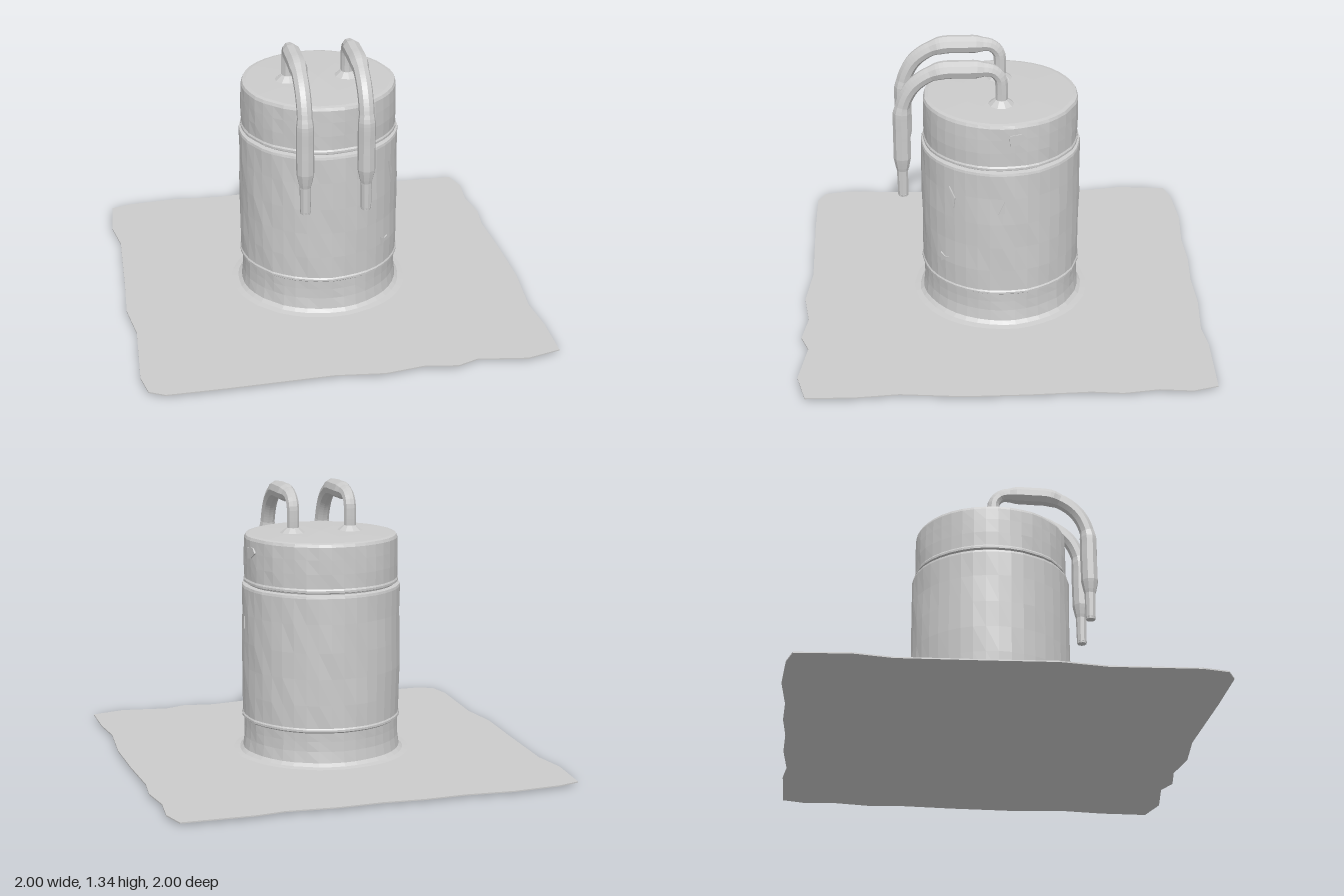
import * as THREE from 'three';

const material = new THREE.MeshStandardMaterial({ color: 0xcccccc, flatShading: true, side: THREE.DoubleSide });

function addMesh(parent, name, geometry) {
  const mesh = new THREE.Mesh(geometry, material);
  mesh.name = name;
  parent.add(mesh);
  return mesh;
}

// Smooth, repeatable unevenness for worn surfaces
function wobble(a, b) {
  return Math.sin(a * 5.3 + b * 11) * 0.5 + Math.sin(a * 9 - b * 17 + 1.3) * 0.5;
}

// Lathe with slightly dented walls
function dentedLathe(profile, amount) {
  const geometry = new THREE.LatheGeometry(profile.map(([r, y]) => new THREE.Vector2(r, y)), 40);
  const p = geometry.attributes.position;
  for (let i = 0; i < p.count; i++) {
    const x = p.getX(i), y = p.getY(i), z = p.getZ(i);
    const r = Math.hypot(x, z);
    if (r < 0.01) continue;
    const k = 1 + amount * wobble(Math.round(x * 500) / 500 * 4 + z * 3, y) / r;
    p.setXYZ(i, x * k, y, z * k);
  }
  geometry.computeVertexNormals();
  return geometry;
}

// Tube along a curve whose radius follows [t, radius] stops
function taperedTube(curve, stops, segments, sides) {
  const geometry = new THREE.TubeGeometry(curve, segments, 1, sides, false);
  const p = geometry.attributes.position;
  const v = new THREE.Vector3();
  for (let i = 0; i < p.count; i++) {
    const t = Math.floor(i / (sides + 1)) / segments;
    let k = 1;
    while (k < stops.length - 1 && stops[k][0] < t) k++;
    const [t0, r0] = stops[k - 1], [t1, r1] = stops[k];
    const radius = THREE.MathUtils.lerp(r0, r1, (t - t0) / (t1 - t0));
    const centre = curve.getPointAt(t);
    v.fromBufferAttribute(p, i).sub(centre).multiplyScalar(radius).add(centre);
    p.setXYZ(i, v.x, v.y, v.z);
  }
  geometry.computeVertexNormals();
  return geometry;
}

function createHose(x) {
  const hose = new THREE.Group();
  hose.name = x > 0 ? 'leftHose' : 'rightHose';
  const points = [
    [1.1, 0], [1.19, -0.002], [1.25, 0.005], [1.285, 0.04], [1.293, 0.1], [1.293, 0.2],
    [1.29, 0.28], [1.26, 0.36], [1.2, 0.43], [1.1, 0.475], [0.95, 0.48], [0.78, 0.482], [0.62, 0.482],
  ].map(([y, z]) => new THREE.Vector3(x, y, z));
  const curve = new THREE.CatmullRomCurve3(points);
  addMesh(hose, 'hoseTube', taperedTube(curve, [
    [0, 0.03], [0.16, 0.031], [0.2, 0.036], [0.23, 0.045], [0.38, 0.045],
    [0.41, 0.038], [0.6, 0.037], [0.63, 0.043], [0.83, 0.043], [0.87, 0.033], [0.885, 0.028], [1, 0.025],
  ], 70, 9));
  // Closed nozzle end
  addMesh(hose, 'hoseTip', new THREE.CylinderGeometry(0.026, 0.023, 0.012, 9)).position.set(x, 0.624, 0.482);
  // Flared root where the hose leaves the lid
  addMesh(hose, 'hoseCollar', new THREE.CylinderGeometry(0.032, 0.07, 0.03, 10)).position.set(x, 1.122, 0);
  return hose;
}

// Small angular nick on the wall at a given angle and height
function addNick(parent, wallRadius, y, z, corners) {
  const shape = new THREE.Shape(corners.map(([a, b]) => new THREE.Vector2(a, b)));
  const geometry = new THREE.ExtrudeGeometry(shape, { depth: 0.008, bevelEnabled: false });
  const angle = Math.acos(z / wallRadius);
  const nick = addMesh(parent, 'wallNick', geometry);
  nick.position.set(Math.sin(angle) * (wallRadius - 0.004), y, z);
  nick.rotation.y = angle;
}

export function createModel() {
  const model = new THREE.Group();
  model.name = 'canisterOnSheet';

  // Thin ground sheet with a ragged outline, corners as x, z
  const outline = [
    [-0.98, -0.95], [-0.88, -0.98], [-0.64, -1], [-0.4, -0.985], [-0.2, -0.995], [0, -0.985], [0.22, -0.995],
    [0.46, -0.98], [0.6, -1], [0.95, -1], [0.985, -0.88], [0.97, -0.72], [0.995, -0.55], [0.98, -0.4],
    [0.995, -0.1], [1, 0.2], [0.975, 0.5], [0.995, 0.7], [0.995, 0.94], [0.83, 0.985], [0.59, 0.95], [0.49, 0.99],
    [0.33, 0.965], [0.14, 0.995], [-0.1, 0.97], [-0.6, 0.99], [-0.89, 0.995], [-0.965, 0.955], [-0.99, 0.83],
    [-0.97, 0.42], [-1, 0.2], [-0.985, -0.1], [-0.97, -0.52], [-1, -0.7],
  ];
  const sheetShape = new THREE.Shape(outline.map(([x, z]) => new THREE.Vector2(x, -z)));
  const sheet = new THREE.ExtrudeGeometry(sheetShape, { depth: 0.006, bevelEnabled: false });
  sheet.rotateX(-Math.PI / 2);
  addMesh(model, 'groundSheet', sheet).position.y = 0.009;

  // Shallow foot under the canister
  addMesh(model, 'foot', new THREE.CylinderGeometry(0.36, 0.06, 0.01, 32)).position.y = 0.005;

  // Canister wall: flared foot, lower band, main drum
  addMesh(model, 'canisterBody', dentedLathe([
    [0.44, 0.015], [0.41, 0.02], [0.393, 0.035], [0.386, 0.09], [0.385, 0.14], [0.386, 0.183],
    [0.396, 0.19], [0.396, 0.2], [0.391, 0.207], [0.393, 0.32], [0.393, 0.45], [0.394, 0.58],
    [0.393, 0.72], [0.393, 0.845], [0.39, 0.857], [0.365, 0.862],
  ], 0.003));

  // Lid, with a groove below and a nearly flat top
  addMesh(model, 'lid', dentedLathe([
    [0.365, 0.855], [0.37, 0.868], [0.383, 0.872], [0.383, 0.882], [0.378, 0.89], [0.38, 0.96],
    [0.38, 1.03], [0.379, 1.09], [0.373, 1.104], [0.355, 1.108], [0.2, 1.112], [0.001, 1.115],
  ], 0.003));

  // Worn nicks on the left wall
  addNick(model, 0.38, 1.03, -0.07, [[-0.04, 0.025], [-0.035, -0.03], [0, -0.025], [0.045, 0.005], [0.02, 0.03]]);
  addNick(model, 0.393, 0.69, 0.24, [[-0.015, 0.06], [0.012, -0.05], [0.02, 0.005]]);
  addNick(model, 0.393, 0.67, 0, [[-0.02, -0.03], [0.012, -0.025], [0.01, 0.04]]);
  addNick(model, 0.393, 0.33, 0.28, [[-0.025, 0.03], [-0.02, -0.02], [0.005, 0], [0.03, 0.02], [0.005, 0.015]]);

  // Pair of hoses arching forward over the lid
  for (const x of [-0.15, 0.143]) model.add(createHose(x));

  return model;
}
